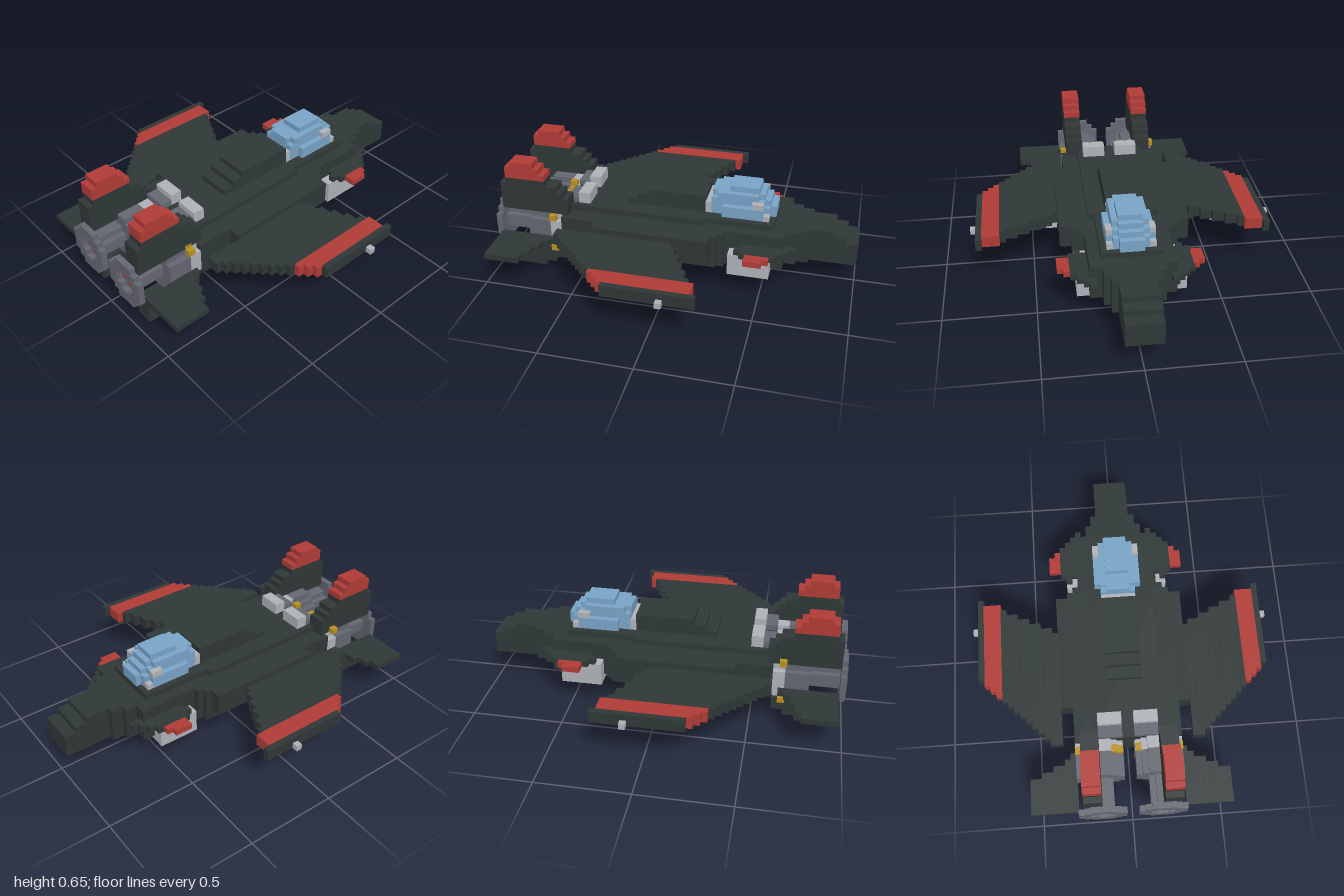
import * as THREE from 'three';
import { mergeGeometries } from 'three/addons/utils/BufferGeometryUtils.js';

// One block is 1/31 unit; all sizes below are in blocks.
const V = 1 / 31;
const mat = (name, color) => {
  const m = new THREE.MeshStandardMaterial({ color });
  m.name = name;
  return m;
};

// box from [x0, x1, y0, y1, z0, z1]
function box([x0, x1, y0, y1, z0, z1]) {
  const g = new THREE.BoxGeometry((x1 - x0) * V, (y1 - y0) * V, (z1 - z0) * V);
  g.translate((x0 + x1) / 2 * V, (y0 + y1) / 2 * V, (z0 + z1) / 2 * V);
  return g;
}
const mirror = list => list.flatMap(b => [b, [-b[1], -b[0], ...b.slice(2)]]);
// centred box from [half width, y0, y1, z0, z1]
const mid = list => list.map(([w, ...r]) => [-w, w, ...r]);

// half widths of the rows of a blocky disc
const DISC = { 4: [2, 3, 4, 4, 4, 4, 3, 2], 2: [1, 2, 2, 1] };
function disc(cx, cy, r, z0, z1, hole = 0) {
  const out = [];
  DISC[r].forEach((w, i) => {
    const y = cy - r + i;
    const h = hole && Math.abs(i + 0.5 - r) < hole ? DISC[hole][i - r + hole] : 0;
    if (h) out.push([cx - w, cx - h, y, y + 1, z0, z1], [cx + h, cx + w, y, y + 1, z0, z1]);
    else out.push([cx - w, cx + w, y, y + 1, z0, z1]);
  });
  return out;
}

export function createModel() {
  const group = new THREE.Group();
  const dark = mat('dark hull', 0x2f3737);
  const red = mat('red trim', 0xb03b36);
  const blue = mat('blue glass', 0x78a3c6);
  const silver = mat('silver', 0xaeb1b6);
  const grey = mat('engine grey', 0x646670);
  const yellow = mat('yellow', 0xb8901f);
  const add = (name, material, boxes) => {
    const m = new THREE.Mesh(mergeGeometries(boxes.map(box)), material);
    m.name = name;
    group.add(m);
  };

  // Fuselage: nose, shoulders, main hull and stepped spine
  add('nose', dark, mid([
    [3, 5, 9, -31, -29], [3, 5, 10, -29, -27], [3, 5, 11, -27, -23],
    [4, 5, 11, -23, -21], [5, 5, 11, -21, -19],
  ]));
  add('hull', dark, mid([
    [7, 5, 11, -19, -9], [5, 11, 12, -17, -5], [8, 5, 11, -9, -8],
    [9, 5, 11, -8, 19], [7, 4, 5, -9, 19], [11, 7, 11, -7, 13], [6, 11, 12, -5, 19],
  ]));
  add('spine', dark, mid([[3, 12, 13, -5, 9], [3, 13, 14, -5, 7], [3, 14, 15, -5, 5]]));
  add('bellyTank', silver, mid([[3, 3, 4, -9, 15], [3, 2, 3, -7, 13]]));
  add('chinSensor', silver, mid([[1, 3, 5, -19, -17]]));
  add('intakes', silver, mirror([[5, 9, 4, 8, -17, -10]]));

  // Cockpit
  add('canopy', blue, mid([
    [2, 12, 14, -17, -16], [3, 12, 14, -16, -15], [4, 12, 14, -15, -8], [3, 12, 14, -8, -6],
    [2, 14, 15, -16, -15], [3, 14, 15, -15, -6], [3, 15, 16, -14, -7],
    [2, 15, 16, -15, -14], [2, 15, 16, -7, -6], [2, 16, 17, -14, -9],
  ]));
  add('canopyFrame', silver, [
    ...mid([[3, 12, 14, -6, -5]]),
    ...mirror([[3, 4, 12, 13, -16, -15], [3, 4, 14, 15, -15, -13]]),
  ]);

  // Canards: [column x, leading z, trailing z]
  add('canards', dark, mirror([[6, -21, -12], [7, -20, -12], [8, -19, -11], [9, -18, -12]]
    .map(([x, a, b]) => [x, x + 1, 8, 9, a, b])));
  add('canardTips', red, mirror([[10, 11, 8, 9, -17, -13], [11, 12, 8, 9, -16, -13]]));

  // Main wings, column by column
  const wing = [], stripe = [];
  for (let x = 11; x < 25; x++) {
    const isRed = x > 20 && x < 24;
    const lead = x === 24 ? -8 : isRed ? -7 : -1 - Math.round((x - 11) * 0.55);
    const trail = Math.min(19, 31 - x);
    (isRed ? stripe : wing).push([x, x + 1, 8, 10, lead, trail]);
  }
  add('wings', dark, mirror(wing));
  add('wingStripes', red, mirror(stripe));
  add('wingTipLights', silver, mirror([[25, 26, 8, 9, -3, -2]]));
  add('wingPods', silver, mirror([
    [21, 23, 7, 8, -3, 2], [16, 18, 7, 8, -2, 3], [11, 14, 7, 8, 0, 5], [11, 13, 5, 6, 2, 4],
    [12, 13, 6, 7, 2, 4],
  ]));
  add('podCaps', dark, mirror([[13, 14, 5, 6, 2, 4]]));

  // Tailplanes
  add('tailplanes', dark, mirror([20, 21, 22, 22, 23, 23, 24, 24]
    .map((z, i) => [9 + i, 10 + i, 6, 7, z, 30])));

  // Fins: rows of [y0, y1, z0, z1]
  const fin = rows => mirror(rows.map(r => [5, 8, ...r]));
  add('upperFins', dark, fin([
    [11, 14, 18, 30], [14, 15, 19, 30], [15, 16, 20, 30], [16, 17, 22, 29],
  ]));
  add('finTips', red, fin([[17, 18, 22, 29], [18, 19, 23, 29], [19, 20, 24, 28]]));
  add('lowerFins', dark, fin([[0, 1, 23, 29], [1, 2, 21, 29], [2, 4, 19, 29]]));
  add('exhaustVents', silver, mirror([[1, 5, 12, 14, 15, 17]]));
  add('ventBases', grey, mirror([[1, 5, 12, 13, 17, 19]]));

  // Twin engines, the same on both sides
  for (const cx of [-5, 5]) {
    add('engineCollar', silver, disc(cx, 8, 4, 19, 21));
    add('engineBody', grey, disc(cx, 8, 4, 21, 25));
    add('engineCore', grey, disc(cx, 8, 2, 25, 30));
    add('nozzleRing', grey, disc(cx, 8, 4, 30, 31, 2));
    add('burner', red, [[cx - 1, cx, 8, 9, 30, 30.3], [cx, cx + 1, 7, 8, 30, 30.3]]);
    add('engineBolts', yellow, [[-4, 11], [2, 11], [3, 10], [-4, 4], [3, 4]]
      .map(([x, y]) => [cx + x, cx + x + 1, y, y + 1, 20, 21.2]));
  }
  return group;
}
